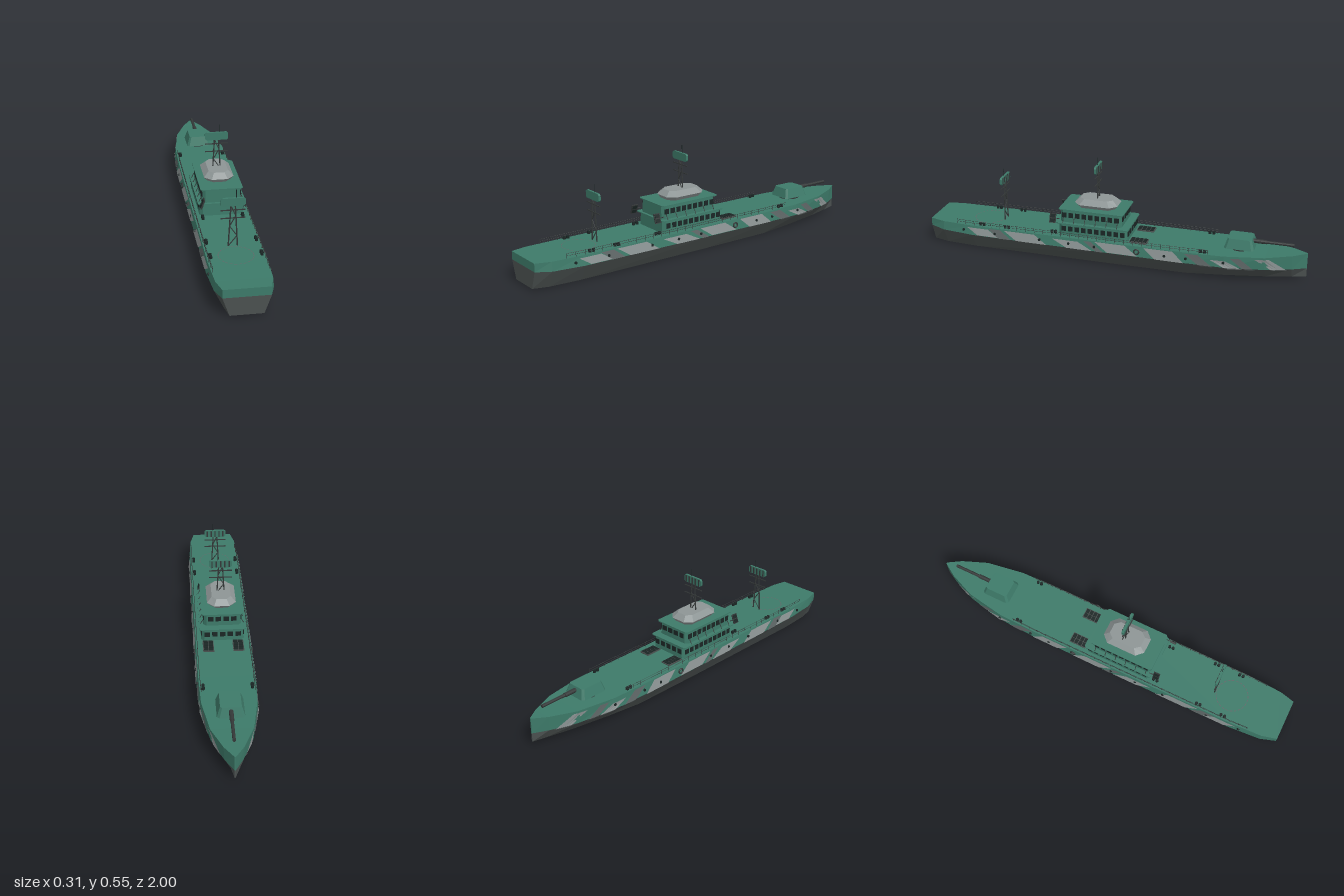
import * as THREE from 'three';

const mat = (name, color, side = THREE.FrontSide) =>
  Object.assign(new THREE.MeshStandardMaterial({ color, side, flatShading: true }), { name });

// Hull stations: z, deck half width, deck y, knuckle half width, knuckle y, keel half width, keel y
const STATIONS = [
  [1.0, 0.11, 0.139, 0.11, 0.097, 0.078, 0.006],
  [0.92, 0.13, 0.137, 0.135, 0.09, 0.092, 0.002],
  [0.75, 0.138, 0.135, 0.147, 0.085, 0.10, 0],
  [0, 0.14, 0.135, 0.15, 0.082, 0.10, 0],
  [-0.4, 0.14, 0.135, 0.149, 0.08, 0.095, 0],
  [-0.6, 0.135, 0.137, 0.14, 0.078, 0.07, 0.004],
  [-0.8, 0.102, 0.14, 0.10, 0.074, 0.04, 0.01],
  [-0.93, 0.048, 0.144, 0.045, 0.07, 0.015, 0.016],
  [-1, 0.003, 0.147, 0.003, 0.066, 0.002, 0.02],
];

function station(z) {
  let i = 0;
  while (i < STATIONS.length - 2 && STATIONS[i + 1][0] > z) i++;
  const a = STATIONS[i], b = STATIONS[i + 1], f = (a[0] - z) / (a[0] - b[0]);
  return a.map((v, k) => v + (b[k] - v) * f);
}

// Point on the hull side: t = -1 keel, 0 knuckle, 1 deck edge
function hullPoint(z, t, s, off = 0) {
  const [, dw, dy, ww, wy, kw, ky] = station(z);
  const [w, y] = t >= 0 ? [dw, dy] : [kw, ky], f = Math.abs(t);
  return [s * (ww + (w - ww) * f + off), wy + (y - wy) * f, z];
}

const quad = (out, a, b, c, d) => out.push(...a, ...b, ...c, ...a, ...c, ...d);

function facets(points) {
  const g = new THREE.BufferGeometry();
  g.setAttribute('position', new THREE.Float32BufferAttribute(points, 3));
  g.computeVertexNormals();
  return g;
}

// Cut-corner block standing from y0 to y1, scaled at its top
function block(w, d, cut, y0, y1, sx = 1, sz = 1) {
  const x = w / 2, z = d / 2;
  const shape = new THREE.Shape([
    [x - cut, -z], [x, -z + cut], [x, z - cut], [x - cut, z],
    [-x + cut, z], [-x, z - cut], [-x, -z + cut], [-x + cut, -z],
  ].map(p => new THREE.Vector2(...p)));
  const g = new THREE.ExtrudeGeometry(shape, { depth: y1 - y0, bevelEnabled: false });
  g.rotateX(-Math.PI / 2).translate(0, y0, 0);
  const p = g.attributes.position;
  for (let i = 0; i < p.count; i++)
    if (p.getY(i) > (y0 + y1) / 2) p.setXYZ(i, p.getX(i) * sx, p.getY(i), p.getZ(i) * sz);
  g.computeVertexNormals();
  return g;
}

// Round bar between two points
function bar(a, b, r, sides = 6) {
  const A = new THREE.Vector3(...a), B = new THREE.Vector3(...b), d = B.clone().sub(A);
  const g = new THREE.CylinderGeometry(r, r, d.length(), sides);
  g.applyQuaternion(new THREE.Quaternion().setFromUnitVectors(new THREE.Vector3(0, 1, 0), d.normalize()));
  return g.translate(...A.add(B).multiplyScalar(0.5).toArray());
}

export function createModel() {
  const green = mat('sea green', 0x3d7a69);
  const hullGrey = mat('hull grey', 0x4b5150);
  const paleGrey = mat('pale grey', 0x8d9595, THREE.DoubleSide);
  const midGrey = mat('patch grey', 0x5f6767, THREE.DoubleSide);
  const dark = mat('dark metal', 0x343838);
  const glass = mat('dark glass', 0x1b2625);
  const root = new THREE.Group();
  root.name = 'patrolShip';
  const add = (name, geo, m, parent = root, x = 0, y = 0, z = 0) => {
    const mesh = new THREE.Mesh(geo, m);
    mesh.name = name;
    mesh.position.set(x, y, z);
    parent.add(mesh);
    return mesh;
  };
  const box = (name, w, h, d, m, x, y, z, parent = root) =>
    add(name, new THREE.BoxGeometry(w, h, d), m, parent, x, y, z);

  // Hull: painted upper strake and deck, grey lower body
  const upper = [], lower = [];
  const P = (i, t, s) => hullPoint(STATIONS[i][0], t, s);
  for (let i = 0; i < STATIONS.length - 1; i++) {
    for (const [list, t0, t1] of [[upper, 0, 1], [lower, -1, 0]]) {
      quad(list, P(i, t0, 1), P(i + 1, t0, 1), P(i + 1, t1, 1), P(i, t1, 1));
      quad(list, P(i, t1, -1), P(i + 1, t1, -1), P(i + 1, t0, -1), P(i, t0, -1));
    }
    quad(upper, P(i, 1, -1), P(i, 1, 1), P(i + 1, 1, 1), P(i + 1, 1, -1));
    quad(lower, P(i + 1, -1, -1), P(i + 1, -1, 1), P(i, -1, 1), P(i, -1, -1));
  }
  const n = STATIONS.length - 1;
  for (const [list, t0, t1] of [[upper, 0, 1], [lower, -1, 0]]) {
    quad(list, P(0, t0, -1), P(0, t0, 1), P(0, t1, 1), P(0, t1, -1));
    quad(list, P(n, t0, 1), P(n, t0, -1), P(n, t1, -1), P(n, t1, 1));
  }
  add('upperHullAndDeck', facets(upper), green);
  add('lowerHull', facets(lower), hullGrey);

  // Slanted camouflage patches: aft z, fore z, low t, high t, lean towards the stern
  const patches = [
    [paleGrey, 0.72, 0.60, 0.05, 0.8, 0.06], [paleGrey, 0.50, 0.33, 0.0, 0.9, 0.07],
    [paleGrey, 0.22, 0.08, 0.0, 0.75, 0.08], [paleGrey, 0.0, -0.16, 0.05, 0.95, 0.07],
    [paleGrey, -0.25, -0.40, 0.0, 0.95, 0.06], [midGrey, 0.60, 0.53, 0.0, 0.9, 0.06],
    [midGrey, 0.06, 0.02, 0.0, 0.9, 0.07], [midGrey, -0.48, -0.55, -0.1, 0.9, 0.08],
    [paleGrey, -0.62, -0.70, -0.15, 0.6, 0.09], [midGrey, -0.71, -0.76, -0.2, 0.85, 0.08],
    [paleGrey, -0.84, -0.91, -0.1, 0.85, 0.09],
  ];
  for (const [m, za, zb, t0, t1, lean] of patches)
    for (const s of [1, -1]) {
      const pts = [], cols = 4, ts = t0 < 0 ? [t0, 0, t1] : [t0, t1];
      const at = (k, t) =>
        hullPoint(za + (zb - za) * k / cols + lean * (t - t0) / (t1 - t0), t, s, 0.003);
      for (let k = 0; k < cols; k++)
        for (let j = 0; j < ts.length - 1; j++)
          quad(pts, at(k, ts[j]), at(k + 1, ts[j]), at(k + 1, ts[j + 1]), at(k, ts[j + 1]));
      add('camouflagePatch', facets(pts), m);
    }

  // Deckhouse tiers with overhanging roofs
  add('lowerDeckhouse', block(0.222, 0.37, 0.015, 0.133, 0.2, 0.97, 0.99), green, root, 0, 0, 0.09);
  add('lowerRoof', block(0.24, 0.385, 0.01, 0.199, 0.204), green, root, 0, 0, 0.092);
  add('upperDeckhouse', block(0.196, 0.33, 0.015, 0.204, 0.273, 0.97, 0.99), green, root, 0, 0, 0.105);
  add('upperRoof', block(0.212, 0.347, 0.01, 0.272, 0.277), green, root, 0, 0, 0.103);
  const windowRow = (y, x, zAft, count, pitch, zFore, across) => {
    for (const s of [1, -1])
      for (let i = 0; i < count; i++)
        box('sideWindow', 0.005, 0.026, pitch * 0.68, glass, s * x, y, zAft - i * pitch);
    for (let i = 0; i < across; i++)
      box('foreWindow', 0.028, 0.026, 0.005, glass, (i - (across - 1) / 2) * 0.04, y, zFore);
  };
  windowRow(0.172, 0.109, 0.245, 10, 0.035, -0.094, 5);
  windowRow(0.243, 0.0965, 0.245, 9, 0.035, -0.0588, 4);

  // Wing struts and the slatted lamp panels behind the bridge
  for (const s of [1, -1]) {
    for (let i = 0; i < 6; i++)
      add('wingStrut', bar([s * 0.095, 0.236, 0.25 - i * 0.058], [s * 0.113, 0.203, 0.25 - i * 0.058], 0.0018), dark);
    const panel = new THREE.Group();
    panel.name = 'signalPanel';
    panel.position.set(s * 0.102, 0.22, 0.308);
    panel.rotation.z = s * 0.35;
    box('panelFrame', 0.006, 0.05, 0.034, dark, 0, 0, 0, panel);
    for (const y of [-0.012, 0.012]) box('panelCell', 0.01, 0.018, 0.026, glass, 0, y, 0, panel);
    add('panelArm', bar([0, 0, 0], [0, 0, -0.04], 0.002), dark, panel);
    root.add(panel);
  }

  // Faceted grey dome on the bridge roof
  add('domeBase', block(0.12, 0.20, 0.03, 0.277, 0.297, 1.25, 1.15), paleGrey, root, 0, 0, 0.092);
  add('domeTop', block(0.15, 0.23, 0.035, 0.297, 0.323, 0.66, 0.76), paleGrey, root, 0, 0, 0.092);

  // Flat lattice masts, each with a radar panel, crossbars and a whip
  const buildMast = (name, y, z) => {
    const g = new THREE.Group();
    g.name = name;
    g.position.set(0, y, z);
    const half = h => 0.022 - 0.012 * h / 0.21;
    for (const s of [1, -1]) {
      add('mastLeg', bar([s * 0.022, 0, 0], [s * 0.010, 0.215, 0], 0.0035), dark, g);
      for (let i = 0; i < 4; i++) {
        const h = i * 0.052, k = s * (i % 2 ? -1 : 1);
        if (s > 0) add('mastBrace', bar([-k * half(h), h, 0], [k * half(h + 0.052), h + 0.052, 0], 0.0025), dark, g);
      }
    }
    for (const h of [0.145, 0.186]) box('crossbar', 0.117, 0.004, 0.005, dark, 0, h, 0, g);
    const radar = block(0.117, 0.04, 0.008, -0.006, 0.006).rotateX(Math.PI / 2);
    add('radarPanel', radar, green, g, 0, 0.228, 0);
    for (let i = 0; i < 5; i++)
      box('radarRib', 0.007, 0.036, 0.004, dark, -0.044 + i * 0.022, 0.228, -0.007, g);
    add('whipAerial', bar([0.015, 0.24, 0], [0.015, 0.288, 0], 0.0015), glass, g);
    root.add(g);
  };
  buildMast('bridgeMast', 0.257, 0.09);
  buildMast('aftMast', 0.14, 0.61);

  // Fore gun
  const gun = new THREE.Group();
  gun.name = 'foreGun';
  gun.position.z = -0.662;
  root.add(gun);
  add('gunBase', new THREE.CylinderGeometry(0.055, 0.055, 0.022, 16), dark, gun, 0, 0.142, 0);
  add('gunHouse', block(0.134, 0.152, 0.012, 0.15, 0.2, 0.76, 0.8), green, gun);
  add('gunBarrel', bar([0, 0.181, -0.05], [0, 0.181, -0.268], 0.008, 10), dark, gun);
  add('gunSleeve', bar([0, 0.181, -0.05], [0, 0.181, -0.13], 0.011, 10), dark, gun);

  // Dashed landing ring on the aft deck
  for (let i = 0; i < 24; i++) {
    const dash = new THREE.RingGeometry(0.081, 0.085, 3, 1, i * Math.PI / 12, Math.PI / 18);
    add('landingRingDash', dash.rotateX(-Math.PI / 2), midGrey, root, 0, 0.1375, 0.7);
  }

  // Missile hatches, bollards, portholes and anchors
  for (const s of [1, -1]) {
    box('hatchFrame', 0.056, 0.006, 0.092, hullGrey, s * 0.077, 0.138, -0.15);
    for (let i = 0; i < 8; i++)
      box('hatchLid', 0.023, 0.006, 0.018, glass, s * (0.064 + (i % 2) * 0.026), 0.1405, -0.183 + (i >> 1) * 0.022);
    for (const [x, z] of [[0.12, -0.49], [0.12, 0.56], [0.12, 0.7], [0.1, 0.305]])
      for (const dz of [-0.01, 0.01])
        add('bollard', new THREE.CylinderGeometry(0.008, 0.008, 0.014, 8), glass, root, s * x, 0.143, z + dz);
    for (const z of [0.8, 0.62, 0.37, 0.21, 0.07, -0.3, -0.41, -0.6]) {
      const [x, y] = hullPoint(z, 0.45, s);
      add('porthole', bar([x - s * 0.004, y, z], [x + s * 0.006, y, z], 0.007, 8), glass);
    }
    const ring = add('lifeRing', new THREE.TorusGeometry(0.013, 0.004, 6, 14), dark, root, s * 0.149, 0.108, -0.155);
    ring.rotation.y = Math.PI / 2;
  }

  // Deck railings
  const posts = 28, zAt = i => 0.84 - i * 1.36 / posts;
  for (const s of [1, -1])
    for (let i = 0; i <= posts; i++) {
      const at = (k, h) => {
        const [x, y, z] = hullPoint(zAt(k), 1, s, -0.006);
        return [x, y + h, z];
      };
      add('railPost', bar(at(i, 0), at(i, 0.024), 0.0013, 4), dark);
      if (i < posts) for (const h of [0.012, 0.023]) add('rail', bar(at(i, h), at(i + 1, h), 0.001, 4), dark);
    }
  return root;
}
